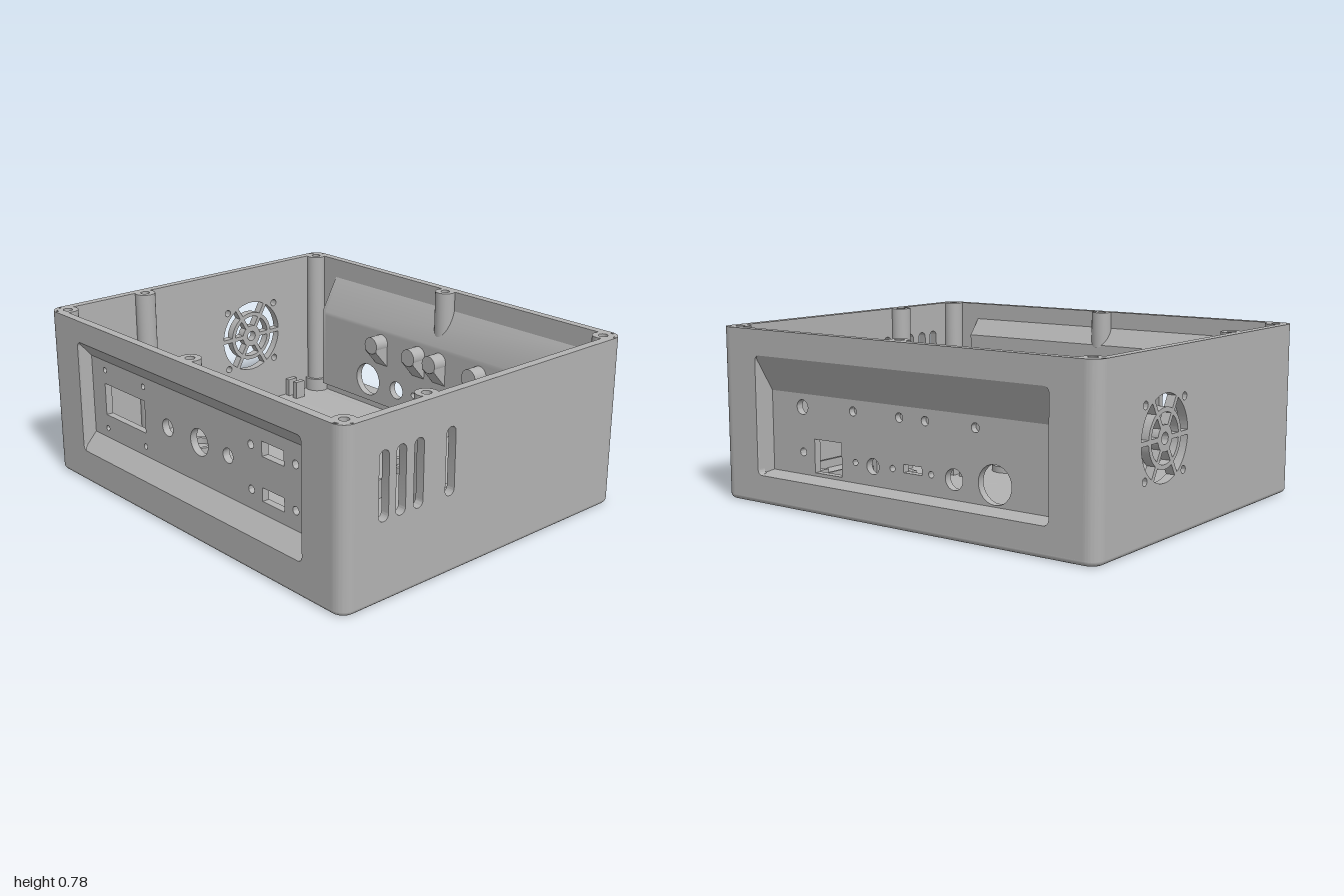
import * as THREE from 'three';
import { toCreasedNormals } from 'three/addons/utils/BufferGeometryUtils.js';

const W = 1, D = 0.82, H = 0.78, T = 0.04, R = 0.06;
const BEVEL = 0.022, FLOOR = 2 * BEVEL + 0.001;
const POST_X = 0.938, POST_Z = 0.757;

// Outline helpers
function roundRect(x0, y0, x1, y1, r, P = THREE.Shape) {
  const s = new P();
  s.moveTo(x0 + r, y0);
  s.lineTo(x1 - r, y0); s.absarc(x1 - r, y0 + r, r, -Math.PI / 2, 0);
  s.lineTo(x1, y1 - r); s.absarc(x1 - r, y1 - r, r, 0, Math.PI / 2);
  s.lineTo(x0 + r, y1); s.absarc(x0 + r, y1 - r, r, Math.PI / 2, Math.PI);
  s.lineTo(x0, y0 + r); s.absarc(x0 + r, y0 + r, r, Math.PI, Math.PI * 1.5);
  return s;
}
const poly = (pts, P = THREE.Shape) => new P(pts.map(p => new THREE.Vector2(p[0], p[1])));
const rect = (x0, y0, x1, y1, P = THREE.Shape) => poly([[x0, y0], [x1, y0], [x1, y1], [x0, y1]], P);
const circle = (x, y, r) => new THREE.Path().absarc(x, y, r, 0, Math.PI * 2);
const extrude = (shape, depth) =>
  new THREE.ExtrudeGeometry(shape, { depth, bevelEnabled: false, curveSegments: 12 });
// Side profile in (z, y), swept along x about a centre
const sweepX = (pts, width, x = 0) =>
  extrude(poly(pts), width).translate(0, 0, -width / 2).rotateY(-Math.PI / 2).translate(x, 0, 0);

export function createModel() {
  const model = new THREE.Group();
  model.name = 'enclosure';
  const grey = new THREE.MeshStandardMaterial({ color: 0xb2b2b2 });
  grey.name = 'grey plastic';

  function add(parent, name, geo) {
    const mesh = new THREE.Mesh(toCreasedNormals(geo, 0.6), grey);
    mesh.name = name;
    parent.add(mesh);
    return mesh;
  }

  // Hollow or blind-holed upright cylinder
  function boss(name, x, z, y0, y1, ro, ri, depth) {
    const pts = [[ro, y0], [ro, y1], [ri, y1], [ri, y1 - depth], [0, y1 - depth]];
    const geo = new THREE.LatheGeometry(pts.map(p => new THREE.Vector2(p[0], p[1])), 28);
    return add(model, name, geo.translate(x, 0, z));
  }

  // Floor slab with rounded lower edge and countersunk screw holes
  const base = roundRect(-W + BEVEL, -D + BEVEL, W - BEVEL, D - BEVEL, R - BEVEL);
  for (const x of [-POST_X, 0, POST_X])
    for (const z of [-POST_Z, POST_Z]) base.holes.push(circle(x, z, 0.022));
  const slab = new THREE.ExtrudeGeometry(base, {
    depth: 0.001, bevelSize: BEVEL, bevelThickness: BEVEL, bevelSegments: 5, curveSegments: 8 });
  add(model, 'floor', slab.rotateX(-Math.PI / 2).translate(0, BEVEL, 0));

  // Rounded vertical corners
  for (const sx of [-1, 1]) for (const sz of [-1, 1]) {
    const s = new THREE.Shape();
    s.moveTo(0, 0);
    const a = Math.atan2(-sz, sx) - Math.PI / 4;
    s.absarc(0, 0, R, a, a + Math.PI / 2);
    add(model, 'wallCorner', extrude(s, H - BEVEL).rotateX(-Math.PI / 2)
      .translate(sx * (W - R), BEVEL, sz * (D - R)));
  }

  // Side walls: vent slots on the left, fan grille on the right
  const sideShape = () => rect(-D + R, BEVEL, D - R, H);
  const vented = sideShape();
  for (const z of [0.61, 0.52, 0.425, 0.25])
    vented.holes.push(roundRect(-z - 0.026, 0.345, -z + 0.026, 0.637, 0.0255, THREE.Path));
  add(model, 'leftWall', extrude(vented, T).translate(0, 0, W - T).rotateY(Math.PI / 2));

  const grille = sideShape(), fz = -0.33, fy = 0.42;
  for (const [ri, ro] of [[0.055, 0.105], [0.125, 0.18]])
    for (let i = 0; i < 6; i++) {
      const a = i * Math.PI / 3, b = a + Math.PI / 3;
      const go = 0.01 / ro, gi = 0.01 / ri;
      const p = new THREE.Path();
      p.absarc(fz, fy, ro, a + go, b - go, false);
      p.absarc(fz, fy, ri, b - gi, a + gi, true);
      p.closePath();
      grille.holes.push(p);
    }
  for (const u of [-0.15, 0.15]) for (const v of [-0.15, 0.15])
    grille.holes.push(circle(fz + u, fy + v, 0.017));
  grille.holes.push(circle(fz, fy, 0.025));
  add(model, 'rightWall', extrude(grille, T).translate(0, 0, W - T).rotateY(-Math.PI / 2));

  // End wall with a recessed connector panel, made facing +z
  function endWall(name, { w, top, bot, pTop, pBot, depth, holes }) {
    const g = new THREE.Group();
    g.name = name;
    model.add(g);
    const zi = D - T, zp = D - depth, zb = zp - 0.034, e = 0.02;
    const wall = rect(-W + R, BEVEL, W - R, H);
    wall.holes.push(roundRect(-w, bot, w, top, 0.025, THREE.Path));
    add(g, 'wall', extrude(wall, T).translate(0, 0, zi));
    const panel = rect(-w, pBot, w, pTop);
    panel.holes.push(...holes);
    add(g, 'recessedPanel', extrude(panel, zp - zb).translate(0, 0, zb));
    add(g, 'upperSlope', sweepX(
      [[D, top], [zp, pTop], [zb, pTop], [zb, pTop + e], [zi, top + e]], 2 * w));
    add(g, 'lowerSlope', sweepX(
      [[D, bot], [zp, pBot], [zb, pBot], [zb, pBot - e], [zi, bot - e]], 2 * w));
    for (const s of [-1, 1])
      add(g, 'recessEnd', sweepX([[D - 0.01, top], [zi, top + e], [zb, pTop + e],
        [zb, pBot - e], [zi, bot - e], [D - 0.01, bot]], e, s * (w + e / 2)));
    // Screw boss at mid rim, its foot trimmed to the slope
    const h = 0.1, k = (top - pTop) / (zi - zb);
    const ring = new THREE.Shape().absarc(0, 0, 0.048, 0, Math.PI * 2);
    ring.holes.push(circle(0, 0, 0.021));
    const geo = extrude(ring, h).rotateX(-Math.PI / 2).translate(0, H - h, POST_Z);
    const p = geo.attributes.position;
    for (let i = 0; i < p.count; i++)
      if (p.getY(i) < H - h / 2)
        p.setY(i, top + e - 0.005 - k * Math.max(0, zi - p.getZ(i)));
    add(g, 'rimBoss', geo);
    return g;
  }

  // Front: display window, knobs and two ports
  const frontHoles = [
    rect(-0.67, 0.34, -0.36, 0.49, THREE.Path),
    circle(-0.19, 0.415, 0.039), circle(0.035, 0.415, 0.061), circle(0.23, 0.415, 0.033),
    rect(0.45, 0.48, 0.585, 0.545, THREE.Path), rect(0.45, 0.285, 0.585, 0.345, THREE.Path)];
  for (const x of [-0.665, -0.365]) for (const y of [0.275, 0.555]) frontHoles.push(circle(x, y, 0.013));
  for (const x of [0.38, 0.655]) for (const y of [0.315, 0.51]) frontHoles.push(circle(x, y, 0.018));
  endWall('frontWall', { w: 0.77, top: 0.68, bot: 0.155, pTop: 0.6, pBot: 0.23, depth: 0.07, holes: frontHoles });

  // Back: sockets and board screw holes (x mirrored, as the wall is turned round)
  const screwX = [-0.3, -0.04, 0.1, 0.36];
  const backHoles = [
    circle(-0.6, 0.44, 0.033), circle(-0.6, 0.24, 0.018),
    rect(-0.53, 0.155, -0.37, 0.305, THREE.Path),
    circle(-0.29, 0.23, 0.014), circle(-0.19, 0.225, 0.035), circle(-0.08, 0.23, 0.014),
    rect(-0.02, 0.22, 0.08, 0.255, THREE.Path), circle(0.13, 0.23, 0.014),
    circle(0.25, 0.225, 0.045), circle(0.457, 0.23, 0.083),
    ...screwX.map(x => circle(x, 0.45, 0.02))];
  const back = endWall('backWall', { w: 0.785, top: 0.665, bot: 0.13, pTop: 0.5, pBot: 0.14, depth: 0.1, holes: backHoles });
  for (const x of screwX) {
    add(back, 'screwTube', new THREE.CylinderGeometry(0.043, 0.043, 0.08, 24)
      .rotateX(Math.PI / 2).translate(x, 0.45, 0.65));
    add(back, 'tubeGusset', sweepX([[0.61, 0.45], [0.61, 0.42], [0.69, 0.33], [0.69, 0.45]], 0.08, x));
  }
  back.rotation.y = Math.PI;

  // Lid posts
  for (const sx of [-1, 1]) {
    for (const z of [-POST_Z, 0.33, POST_Z])
      boss('lidPost', sx * POST_X, z, FLOOR - 0.01, H, 0.048, 0.021, 0.15);
    for (const z of [-POST_Z, POST_Z])
      boss('postFoot', sx * (POST_X - 0.005), z, FLOOR - 0.01, 0.11, 0.062, 0.02, 0.01);
  }
  for (const z of [-POST_Z, POST_Z]) boss('postStub', 0, z, FLOOR - 0.01, 0.11, 0.05, 0.02, 0.03);

  // Floor rings and board standoffs
  for (const x of [-0.65, 0.195]) for (const z of [-0.32, 0.25])
    boss('footRing', x, z, FLOOR - 0.01, 0.075, 0.08, 0.06, 0.03);
  for (const x of [-0.63, 0.075]) for (const z of [0.47, 0.64])
    boss('standoff', x, z, FLOOR - 0.01, 0.1, 0.042, 0.021, 0.05);
  for (const z of [-0.28, 0]) boss('smallStandoff', 0.63, z, FLOOR - 0.01, 0.1, 0.033, 0.019, 0.05);

  // Cable clips, each a pair of small blocks
  const clips = [[-0.91, -0.58], [-0.91, -0.15], [-0.91, 0.145], [0.655, -0.58], [0.315, -0.37],
    [0.625, -0.17], [0.315, 0.025], [0.76, 0.3], [0.795, 0.595]];
  for (const [x, z] of clips) for (const s of [-1, 1])
    add(model, 'cableClip', new THREE.BoxGeometry(0.027, 0.1, 0.056).translate(x + s * 0.03, 0.085, z));

  // Battery tray rim
  const tray = rect(0.715, -0.195, 0.945, 0.655);
  tray.holes.push(rect(0.727, -0.183, 0.933, 0.643, THREE.Path));
  add(model, 'trayRim', extrude(tray, 0.045).rotateX(-Math.PI / 2).translate(0, FLOOR - 0.005, 0));

  return model;
}
